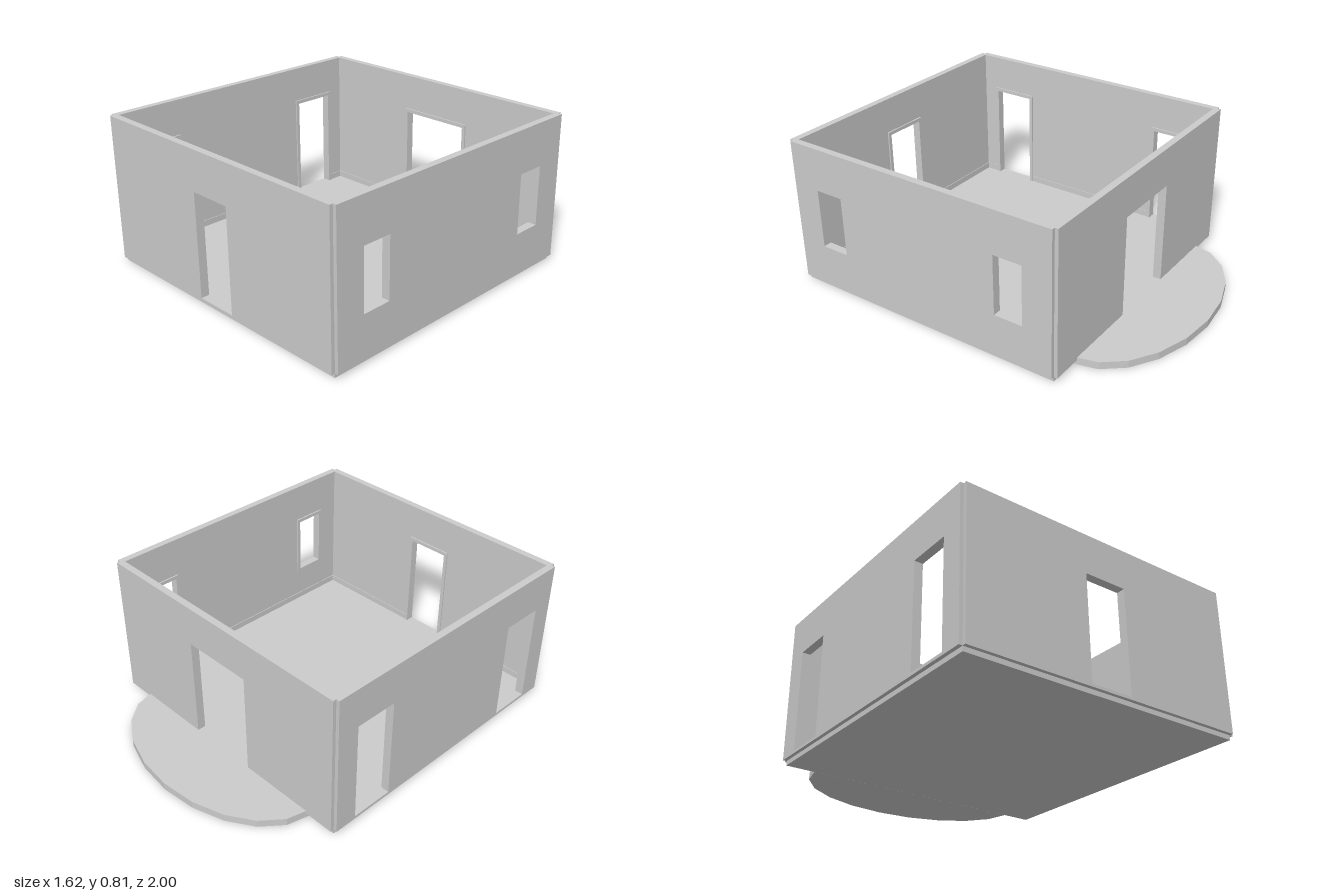
import * as THREE from 'three';

const material = new THREE.MeshStandardMaterial({ color: 0xcccccc, flatShading: true });
const FLOOR = 0.04, BASE = 0.025, TOP = 0.815, DOOR_TOP = 0.6;
const THICK = 0.038, TRIM = 0.02, TRIM_DEPTH = 0.008;
const SKIRT_HEIGHT = 0.035, SKIRT_DEPTH = 0.004;

function mesh(name, geometry) {
  const m = new THREE.Mesh(geometry, material);
  m.name = name;
  return m;
}

function box(name, w, h, d, x, y, z) {
  const m = mesh(name, new THREE.BoxGeometry(w, h, d));
  m.position.set(x, y, z);
  return m;
}

function rect(Type, x0, y0, x1, y1) {
  const p = new Type();
  p.moveTo(x0, y0);
  p.lineTo(x1, y0);
  p.lineTo(x1, y1);
  p.lineTo(x0, y1);
  p.closePath();
  return p;
}

const extrude = (shape, depth) => new THREE.ExtrudeGeometry(shape, { depth, bevelEnabled: false });

const door = (u, width) => ({ u, width, y0: FLOOR, y1: DOOR_TOP, isDoor: true });
const windowAt = (u) => ({ u, width: 0.16, y0: 0.255, y1: 0.58, isDoor: false });

// A wall runs along local x, its inner face at z = 0 and its outer face at +z
function wall(name, outerLength, innerLength, openings) {
  const group = new THREE.Group();
  group.name = name;
  const half = outerLength / 2;
  const panel = rect(THREE.Shape, -half, BASE, half, TOP);
  for (const o of openings) {
    const a = o.u - o.width / 2, b = o.u + o.width / 2;
    panel.holes.push(rect(THREE.Path, a, o.y0, b, o.y1));

    // Raised casing round the inside of the opening
    let casing;
    if (o.isDoor) {
      casing = new THREE.Shape([
        [a - TRIM, FLOOR], [a, FLOOR], [a, o.y1], [b, o.y1],
        [b, FLOOR], [b + TRIM, FLOOR], [b + TRIM, o.y1 + TRIM], [a - TRIM, o.y1 + TRIM],
      ].map(([x, y]) => new THREE.Vector2(x, y)));
    } else {
      casing = rect(THREE.Shape, a - TRIM, o.y0 - TRIM, b + TRIM, o.y1 + TRIM);
      casing.holes.push(rect(THREE.Path, a, o.y0, b, o.y1));
    }
    const trim = mesh(o.isDoor ? 'doorCasing' : 'windowCasing', extrude(casing, TRIM_DEPTH));
    trim.position.z = -TRIM_DEPTH;
    group.add(trim);
  }
  group.add(mesh('wallPanel', extrude(panel, THICK)));

  // Skirting boards between the doors
  let start = -innerLength / 2;
  const doors = openings.filter((o) => o.isDoor).sort((p, q) => p.u - q.u);
  const stops = doors.map((o) => [o.u - o.width / 2 - TRIM, o.u + o.width / 2 + TRIM]);
  stops.push([innerLength / 2, 0]);
  for (const [end, next] of stops) {
    group.add(box('skirting', end - start, SKIRT_HEIGHT, SKIRT_DEPTH,
      (start + end) / 2, FLOOR + SKIRT_HEIGHT / 2, -SKIRT_DEPTH / 2));
    start = next;
  }
  return group;
}

export function createModel() {
  const model = new THREE.Group();
  model.name = 'room';
  const midZ = 0.1875, innerX = 0.774, innerZ = 0.774;
  const openingZ = [-0.3625, 0.7425];

  // Floor slab, reaching part way under the walls
  model.add(box('floor', 1.584, FLOOR, 1.584, 0, FLOOR / 2, midZ));

  // Half-oval terrace at the back
  const outline = [];
  for (let i = 0; i <= 10; i++) {
    const a = (i / 10) * Math.PI;
    outline.push(new THREE.Vector2(0.63 * Math.cos(a), 0.605 + 0.395 * Math.sin(a)));
  }
  const terrace = mesh('terrace', extrude(new THREE.Shape(outline), FLOOR));
  terrace.rotation.x = -Math.PI / 2;
  model.add(terrace);

  // Four walls, stepped at the outer corners
  const length = 1.586;
  const front = wall('frontWall', length, 2 * innerX, [door(0, 0.236)]);
  front.position.z = midZ + innerZ;

  const back = wall('backWall', length, 2 * innerX, [door(0, 0.4)]);
  back.rotation.y = Math.PI;
  back.position.z = midZ - innerZ;

  const windowed = wall('windowWall', length, 2 * innerZ, openingZ.map((z) => windowAt(midZ - z)));
  windowed.rotation.y = Math.PI / 2;
  windowed.position.set(innerX, 0, midZ);

  const doored = wall('sideDoorWall', length, 2 * innerZ, openingZ.map((z) => door(z - midZ, 0.236)));
  doored.rotation.y = -Math.PI / 2;
  doored.position.set(-innerX, 0, midZ);

  model.add(front, back, windowed, doored);
  return model;
}
